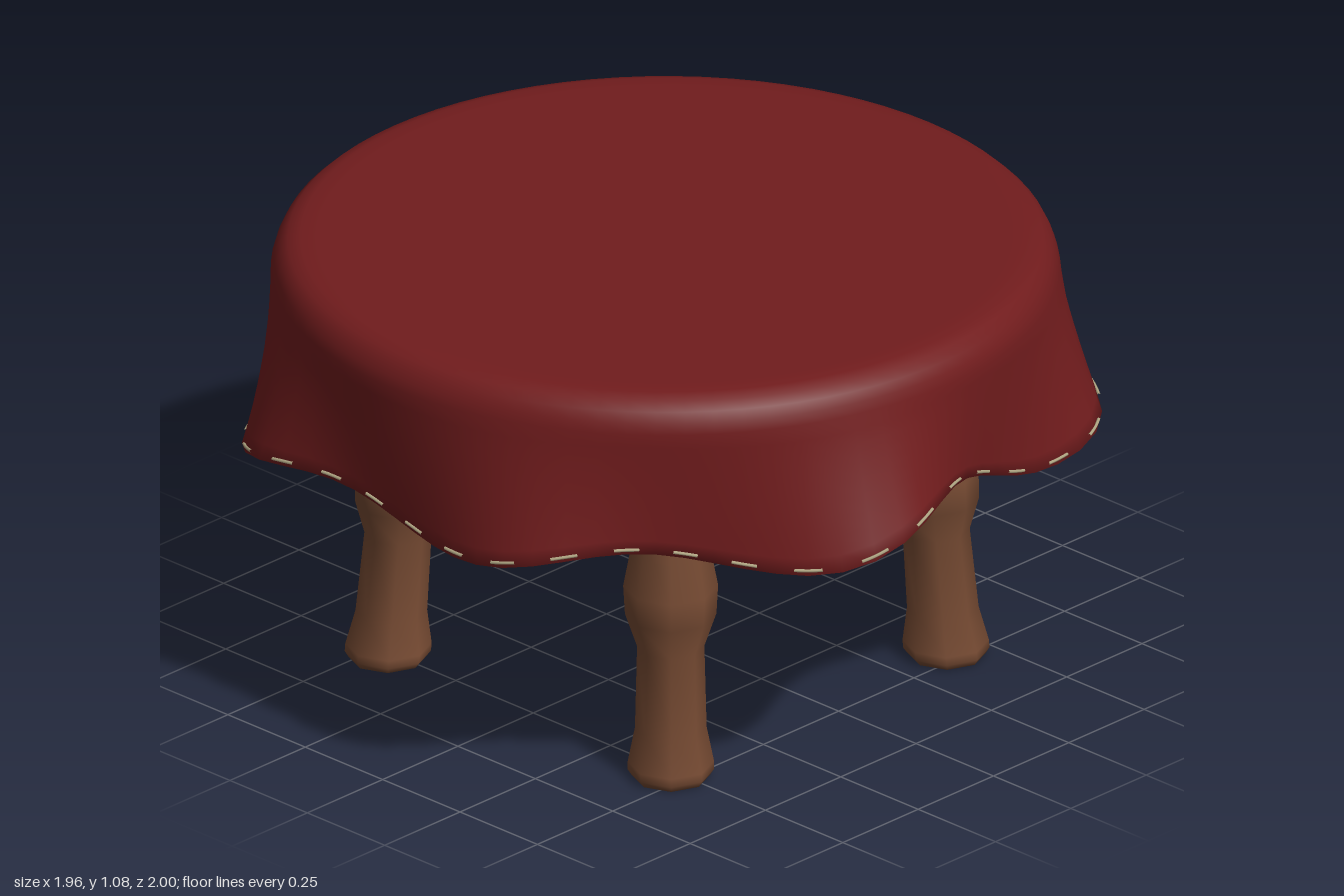
import * as THREE from 'three';

const CX = -0.065, CZ = 0.004;            // axis of the round table
const RAD = Math.PI / 180, STEP = 360 / 7 * RAD;
const mat = (name, color, side = THREE.FrontSide) => {
  const m = new THREE.MeshStandardMaterial({ color, side });
  m.name = name;
  return m;
};

// Seven folds of the cloth: angle in degrees, how far each flares out at the hem
const FOLDS = [[0, 0.147], [53, 0.128], [105, 0.132], [157, 0.088], [210, 0.122], [261, 0.126], [315, 0.107]];
function flare(a) {
  let r = -0.025;
  for (const [deg, out] of FOLDS) {
    const d = Math.atan2(Math.sin(a - deg * RAD), Math.cos(a - deg * RAD)) / (14.5 * RAD);
    r += out * Math.exp(-d * d);
  }
  return r;
}

// Lower edge of the cloth: seven scallops of uneven height, turned slightly against the folds
const SCALLOPS = [0.73, 0.705, 0.745, 0.695, 0.69, 0.735, 0.69];
function hemY(a) {
  const k = (a + 12 * RAD) / STEP;
  const high = SCALLOPS[(Math.round(k) + 7) % 7];
  return 0.636 + (high - 0.636) * 0.5 * (1 + Math.cos(k * Math.PI * 2));
}

function skirtPoint(a, t, inset = 0) {
  const r = 0.914 + Math.pow(t, 1.2) * flare(a) - inset;
  return new THREE.Vector3(CX + r * Math.cos(a), 1 + (hemY(a) - 1) * t, CZ + r * Math.sin(a));
}

// Draped cloth: flat top, rounded rim, folded skirt and inner face, as one grid
function clothGeometry() {
  const N = 84, STEPS = 9, rows = [];
  const ring = (r, y) => a => new THREE.Vector3(CX + r * Math.cos(a), y, CZ + r * Math.sin(a));
  for (const [r, y] of [[0, 1.08], [0.8, 1.08], [0.845, 1.079], [0.875, 1.069], [0.895, 1.05], [0.907, 1.025]])
    rows.push(ring(r, y));
  for (let i = 0; i <= STEPS; i++) rows.push(a => skirtPoint(a, i / STEPS));
  for (let i = STEPS; i >= 0; i--) rows.push(a => skirtPoint(a, i / STEPS, 0.02));
  rows.push(ring(0.878, 1.04), ring(0.83, 1.062));

  const pos = [], idx = [];
  rows.forEach((row, i) => {
    for (let j = 0; j < N; j++) {
      pos.push(...row((j / N) * Math.PI * 2).toArray());
      if (i === rows.length - 1) continue;
      const a = i * N + j, b = i * N + (j + 1) % N;
      if (i > 0) idx.push(a, b, a + N);
      idx.push(b, b + N, a + N);
    }
  });
  const g = new THREE.BufferGeometry();
  g.setAttribute('position', new THREE.Float32BufferAttribute(pos, 3));
  g.setIndex(idx);
  g.computeVertexNormals();
  return g;
}

// Turned leg, sheared outwards towards the foot
function legGeometry(sx, sz) {
  const profile = [[0, 0], [0.09, 0], [0.1, 0.015], [0.1, 0.035], [0.083, 0.12], [0.078, 0.32],
    [0.106, 0.4], [0.11, 0.47], [0.085, 0.6], [0.08, 0.7], [0.08, 0.9]]
    .map(p => new THREE.Vector2(...p));
  const g = new THREE.LatheGeometry(profile, 8);
  const p = g.attributes.position;
  for (let i = 0; i < p.count; i++) {
    const lean = 0.458 - 0.055 * p.getY(i);
    p.setX(i, p.getX(i) + CX + 0.005 + sx * lean);
    p.setZ(i, p.getZ(i) + CZ + sz * lean);
  }
  return g;
}

export function createModel() {
  const cloth = mat('red cloth', 0x711c1d, THREE.DoubleSide);
  const darkWood = mat('brown wood', 0x774b33);
  const topWood = mat('tan table top wood', 0xb88c5e);
  const thread = mat('hem thread', 0xb4aa86);

  const model = new THREE.Group();
  model.name = 'draped round table';
  const add = (name, geometry, material, parent = model) => {
    const m = new THREE.Mesh(geometry, material);
    m.name = name;
    parent.add(m);
    return m;
  };

  add('tablecloth', clothGeometry(), cloth);

  // Wooden top and the smaller apron disc below it
  add('tableTop', new THREE.CylinderGeometry(0.865, 0.865, 0.09, 64), topWood).position.set(CX, 1.005, CZ);
  add('apron', new THREE.CylinderGeometry(0.705, 0.705, 0.13, 64), darkWood).position.set(CX, 0.91, CZ);

  // Four legs
  for (const sx of [-1, 1])
    for (const sz of [-1, 1])
      add(`${sz > 0 ? 'front' : 'back'}${sx > 0 ? 'Left' : 'Right'}Leg`, legGeometry(sx, sz), darkWood);

  // Short stitches along the hem
  const stitches = new THREE.Group();
  stitches.name = 'hemStitches';
  model.add(stitches);
  const COUNT = 42;
  for (let i = 0; i < COUNT; i++) {
    const a = ((i + 0.5) / COUNT) * Math.PI * 2;
    const pts = [-1.8, -0.9, 0, 0.9, 1.8].map(d => skirtPoint(a + d * RAD, 0.965, -0.001));
    add('stitch', new THREE.TubeGeometry(new THREE.CatmullRomCurve3(pts), 6, 0.004, 5), thread, stitches);
  }
  return model;
}
